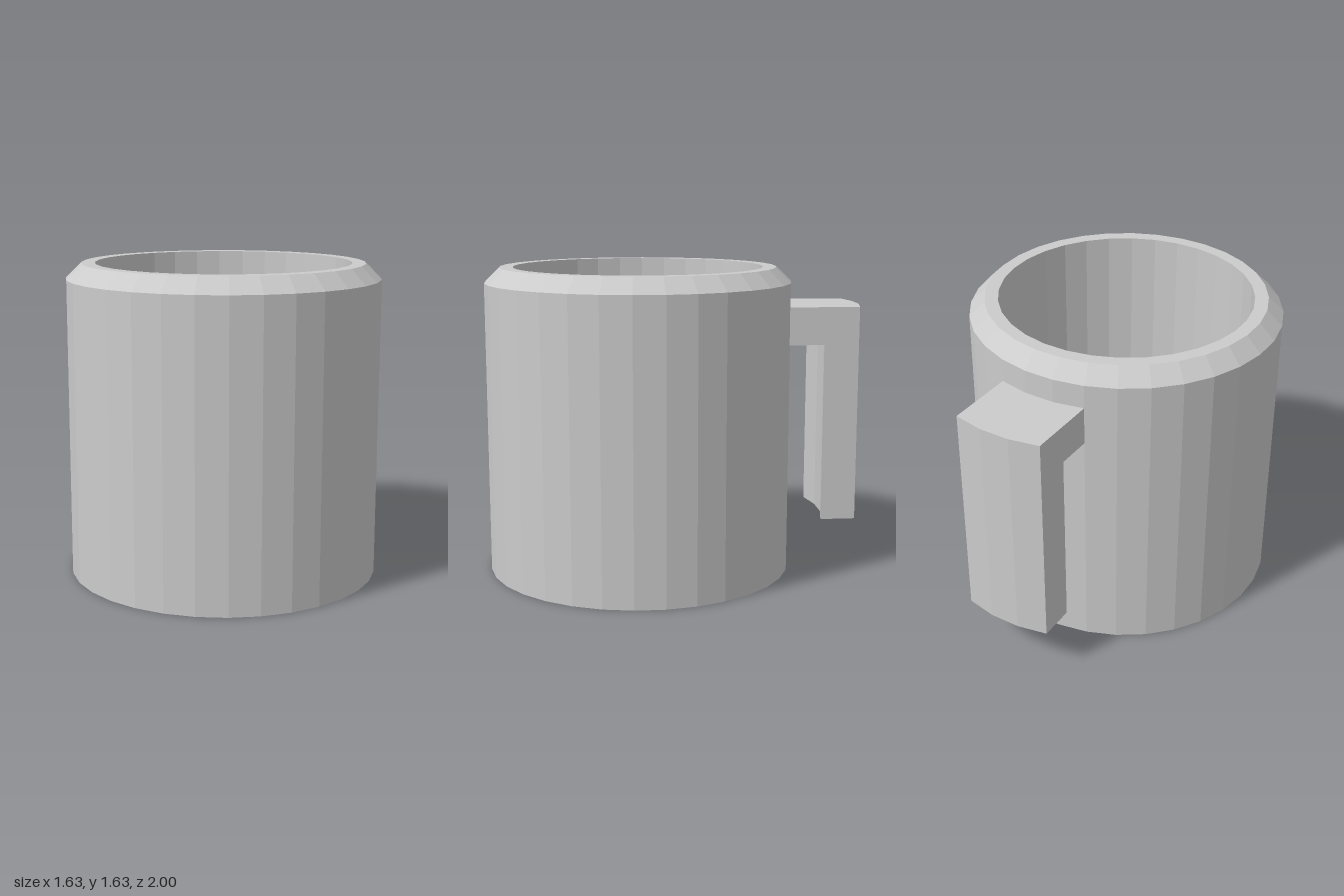
import * as THREE from 'three';

const SIDES = 32;
const STEP = (Math.PI * 2) / SIDES;
const RADIUS = 0.816;
const CENTRE_Z = 0.184;

const material = () => new THREE.MeshStandardMaterial({ color: 0xcccccc, flatShading: true });

// Hollow body: base, outer wall, chamfer, flat rim, inner wall and floor
function createCup() {
  const profile = [
    [0, 0], [RADIUS, 0], [RADIUS, 1.555], [0.735, 1.635],
    [0.665, 1.635], [0.665, 0.15], [0, 0.15],
  ].map(([r, y]) => new THREE.Vector2(r, y));
  const cup = new THREE.Mesh(new THREE.LatheGeometry(profile, SIDES), material());
  cup.name = 'cup';
  cup.position.z = CENTRE_Z;
  return cup;
}

// Open-ended handle: an L profile (distance from wall, height) swept over three wall facets
function createHandle() {
  const root = -0.03, inner = 0.186, outer = 0.372;
  const shape = new THREE.Shape([
    [root, 1.23], [inner, 1.23], [inner, 0.28],
    [outer, 0.28], [outer, 1.43], [root, 1.43],
  ].map(([d, y]) => new THREE.Vector2(d, y)));
  const geometry = new THREE.ExtrudeGeometry(shape, { depth: 3, steps: 3, bevelEnabled: false });

  // Follow the wall's facets, pushed out along the middle facet's normal
  const push = -STEP / 2;
  const p = geometry.attributes.position;
  for (let i = 0; i < p.count; i++) {
    const distance = p.getX(i);
    const angle = (p.getZ(i) - 2) * STEP;
    p.setXYZ(
      i,
      RADIUS * Math.sin(angle) + distance * Math.sin(push),
      p.getY(i),
      CENTRE_Z - RADIUS * Math.cos(angle) - distance * Math.cos(push),
    );
  }
  geometry.computeVertexNormals();
  const handle = new THREE.Mesh(geometry, material());
  handle.name = 'handle';
  return handle;
}

export function createModel() {
  const mug = new THREE.Group();
  mug.name = 'mug';
  mug.add(createCup(), createHandle());
  return mug;
}
